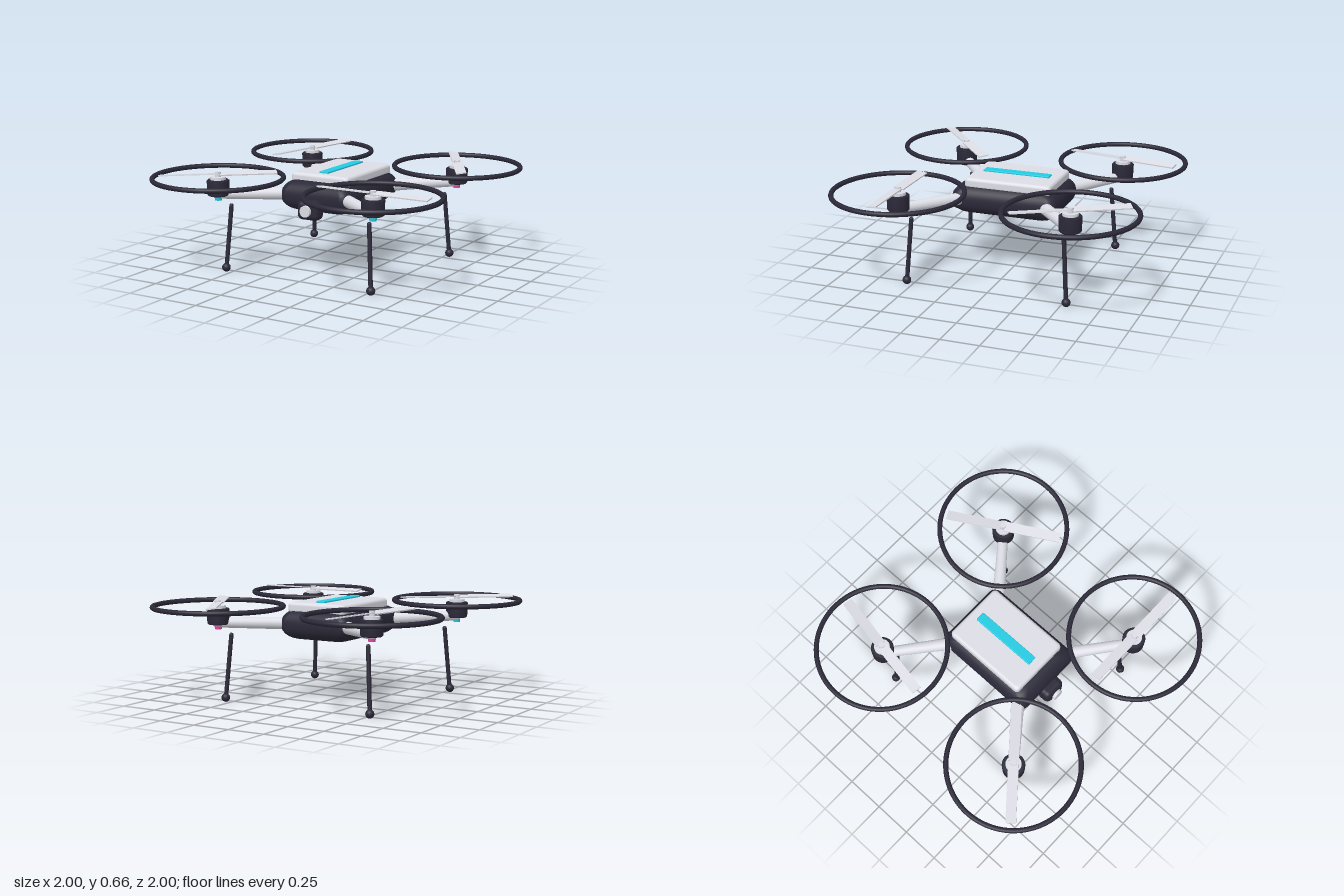
import * as THREE from 'three';
import { RoundedBoxGeometry } from 'three/addons/geometries/RoundedBoxGeometry.js';

const material = (name, color) => Object.assign(new THREE.MeshStandardMaterial({ color }), { name });

function addMesh(parent, name, geometry, mat, x = 0, y = 0, z = 0) {
  const mesh = new THREE.Mesh(geometry, mat);
  mesh.name = name;
  mesh.position.set(x, y, z);
  parent.add(mesh);
  return mesh;
}

// Tapered round bar between two points
function addBar(parent, name, from, to, r0, r1, mat) {
  const a = new THREE.Vector3(...from), b = new THREE.Vector3(...to);
  const dir = b.clone().sub(a);
  const mesh = addMesh(parent, name, new THREE.CylinderGeometry(r1, r0, dir.length(), 24), mat);
  mesh.position.copy(a).add(b).multiplyScalar(0.5);
  mesh.quaternion.setFromUnitVectors(new THREE.Vector3(0, 1, 0), dir.normalize());
}

// Rounded rectangle in plan (corner radius) lofted upward with soft top and bottom edges
function slabGeometry(w, h, d, corner, edge) {
  const steps = 8, perCorner = 6;
  const levels = [{ y: -h / 2, inset: null }];
  for (const side of [-1, 1]) {
    for (let i = 0; i <= steps; i++) {
      const t = (side < 0 ? i : steps - i) / steps * Math.PI / 2;
      levels.push({ y: side * (h / 2 - edge + edge * Math.cos(t)), inset: edge * (1 - Math.sin(t)) });
    }
  }
  levels.push({ y: h / 2, inset: null });
  const pos = [], index = [], n = 4 * (perCorner + 1);
  for (const { y, inset } of levels) {
    for (let c = 0; c < 4; c++) {
      const sx = c === 0 || c === 3 ? 1 : -1, sz = c < 2 ? 1 : -1;
      for (let k = 0; k <= perCorner; k++) {
        const a = (c + k / perCorner) * Math.PI / 2;
        // A level without inset is the centre of a flat cap
        if (inset === null) pos.push(0, y, 0);
        else pos.push(sx * (w / 2 - inset - corner) + corner * Math.cos(a), y,
          sz * (d / 2 - inset - corner) + corner * Math.sin(a));
      }
    }
  }
  const last = levels.length - 2;
  for (let i = 0; i <= last; i++) {
    for (let j = 0; j < n; j++) {
      const a = i * n + j, b = i * n + (j + 1) % n;
      if (i > 0) index.push(a, a + n, b);
      if (i < last) index.push(b, a + n, b + n);
    }
  }
  const g = new THREE.BufferGeometry();
  g.setAttribute('position', new THREE.Float32BufferAttribute(pos, 3));
  g.setIndex(index);
  g.computeVertexNormals();
  return g;
}

export function createModel() {
  const dark = material('dark shell', 0x2b2938);
  const light = material('light grey', 0xdcdde5);
  const cyan = material('cyan', 0x24cbe2);
  const pink = material('pink', 0xe648a6);

  const drone = new THREE.Group();
  drone.name = 'drone';

  // Hull, top cover and accent strip
  addMesh(drone, 'body', slabGeometry(0.506, 0.195, 0.706, 0.055, 0.09), dark, 0, 0.504, 0);
  addMesh(drone, 'topCover', slabGeometry(0.42, 0.07, 0.58, 0.025, 0.022), light, 0, 0.61, -0.02);
  addMesh(drone, 'topStrip', new RoundedBoxGeometry(0.064, 0.02, 0.45, 2, 0.005), cyan, 0, 0.646, -0.02);

  // Nose camera
  const camera = new THREE.Group();
  camera.name = 'camera';
  drone.add(camera);
  addMesh(camera, 'cameraHousing', new RoundedBoxGeometry(0.156, 0.125, 0.1, 5, 0.035), dark, 0, 0.438, 0.367);
  addMesh(camera, 'cameraLens', new THREE.CylinderGeometry(0.037, 0.037, 0.04, 16), light, 0, 0.438, 0.417)
    .rotation.x = Math.PI / 2;

  // Four rotor units: side, front or back, blade angle
  const units = [[1, 1, 0, 'frontLeft'], [-1, 1, 40, 'frontRight'], [-1, -1, 80, 'backRight'], [1, -1, 120, 'backLeft']];
  for (const [sx, sz, angle, label] of units) {
    const unit = new THREE.Group();
    unit.name = label + 'Unit';
    drone.add(unit);
    const cx = 0.567 * sx, cz = 0.567 * sz;

    // Arm with a rounded tip
    addBar(unit, 'arm', [0.19 * sx, 0.505, 0.265 * sz], [cx, 0.517, cz], 0.041, 0.032, light);
    addMesh(unit, 'armTip', new THREE.SphereGeometry(0.032, 20, 14), light, cx, 0.517, cz);

    // Motor can with bell cap and shaft
    const profile = [[0, 0.506], [0.062, 0.506], [0.07, 0.514], [0.073, 0.603], [0.066, 0.61], [0, 0.61]];
    const can = new THREE.LatheGeometry(profile.map(p => new THREE.Vector2(...p)), 32);
    addMesh(unit, 'motor', can, dark, cx, 0, cz);
    addMesh(unit, 'motorCap', new THREE.CylinderGeometry(0.05, 0.05, 0.022, 28), light, cx, 0.617, cz);
    addMesh(unit, 'shaft', new THREE.CylinderGeometry(0.019, 0.019, 0.05, 16), light, cx, 0.635, cz);

    // Status lamp under the motor
    addMesh(unit, 'lamp', new THREE.CylinderGeometry(0.024, 0.022, 0.02, 20), sz > 0 ? cyan : pink, cx, 0.485, cz);

    // Two pitched blades
    const rotor = new THREE.Group();
    rotor.name = 'propeller';
    rotor.position.set(cx, 0.646, cz);
    rotor.rotation.y = angle * Math.PI / 180;
    unit.add(rotor);
    for (const turn of [0, Math.PI]) {
      const holder = new THREE.Group();
      holder.name = 'bladeMount';
      holder.rotation.y = turn;
      rotor.add(holder);
      addMesh(holder, 'blade', new THREE.BoxGeometry(0.365, 0.008, 0.066), light, 0.194, 0, 0).rotation.x = 0.15;
    }

    // Guard ring
    addMesh(unit, 'guardRing', new THREE.TorusGeometry(0.417, 0.016, 12, 72), dark, cx, 0.621, cz)
      .rotation.x = Math.PI / 2;

    // Splayed leg with ball foot
    addBar(unit, 'leg', [0.536 * sx, 0.03, 0.536 * sz], [0.508 * sx, 0.435, 0.508 * sz], 0.014, 0.014, dark);
    addMesh(unit, 'legTop', new THREE.SphereGeometry(0.014, 16, 10), dark, 0.508 * sx, 0.435, 0.508 * sz);
    addMesh(unit, 'foot', new THREE.SphereGeometry(0.028, 20, 14), dark, 0.537 * sx, 0.028, 0.537 * sz);
  }
  return drone;
}
